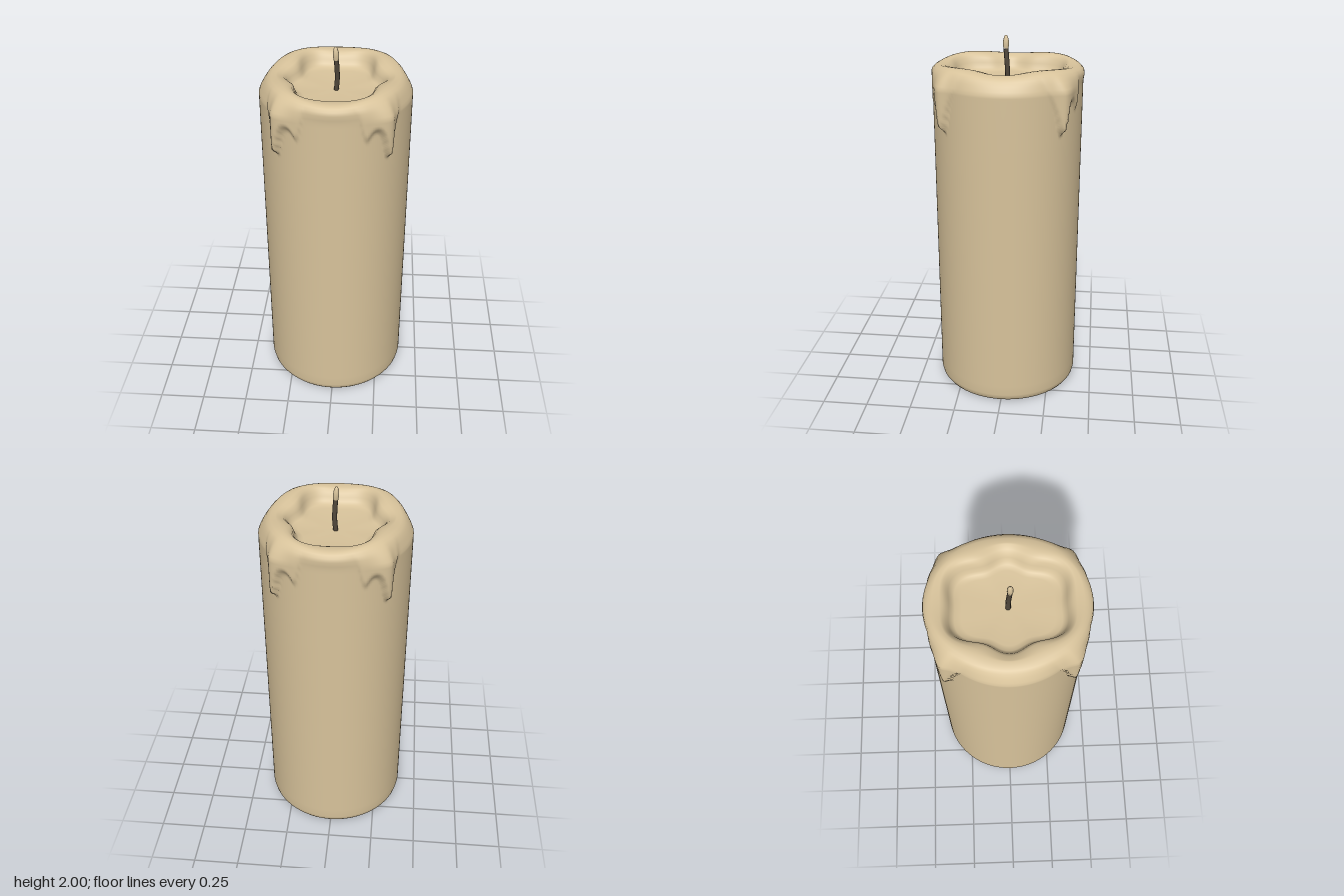
import * as THREE from 'three';
import { mergeVertices } from 'three/addons/utils/BufferGeometryUtils.js';

const wax = new THREE.MeshStandardMaterial({ name: 'wax', color: 0xd8c39b });
const charred = new THREE.MeshStandardMaterial({ name: 'charredWick', color: 0x4f463a });

const step = THREE.MathUtils.smoothstep;
const bell = (v, mid, width) => Math.exp(-(((v - mid) / width) ** 2));

// Thickness of the run of melted wax; a is the angle in degrees from the z axis, folded to 0-90
function dripThickness(a, y) {
  const spread = step(a, 14, 26) * (1 - step(a, 48, 63));
  const edge = 1.85 - 0.16 * spread - 0.16 * bell(a, 43, 4.5) - 0.05 * bell(a, 25, 4);
  const swell = 0.012 + 0.03 * bell(a, 42, a < 42 ? 10 : 5);
  return spread * swell * step(y, edge, edge + 0.05) * (1 - step(y, 1.77, 1.86));
}

// Wax pillar: a turned profile, then warped into a soft rim, a six-sided pool and four drips
function waxGeometry() {
  const profile = [[0, 0], [0.3, 0], [0.36, 0.002], [0.38, 0.008], [0.39, 0.022], [0.395, 0.045], [0.395, 0.1]];
  for (let y = 1.48; y < 1.77; y += 0.0125) profile.push([0.395, y]);
  profile.push(
    [0.392, 1.785], [0.387, 1.81], [0.378, 1.83], [0.365, 1.843], [0.35, 1.851], [0.33, 1.855],
    [0.31, 1.853], [0.29, 1.845], [0.275, 1.83], [0.265, 1.81], [0.255, 1.79], [0.24, 1.777],
    [0.21, 1.77], [0.1, 1.766], [0, 1.765]);
  let geo = new THREE.LatheGeometry(profile.map(([x, y]) => new THREE.Vector2(x, y)), 240);
  geo.deleteAttribute('uv');
  geo.deleteAttribute('normal');
  const pos = geo.attributes.position;
  for (let i = 0; i < pos.count; i++) {
    const x = pos.getX(i), z = pos.getZ(i);
    let y = pos.getY(i), r = Math.hypot(x, z);
    const az = Math.atan2(x, z);
    const folded = THREE.MathUtils.radToDeg(Math.atan2(Math.abs(x), Math.abs(z)));
    if (y > 1.4) {
      const poolRadius = 0.265 + 0.032 * Math.cos(2 * az) - 0.017 * Math.cos(6 * az);
      const drip = r > 0.32 ? dripThickness(folded, y) : 0;
      const slope = r > 0.325 ? 0.02 * Math.cos(2 * az) * step(y, 1.76, 1.84) : 0;
      if (y > 1.76) r *= THREE.MathUtils.lerp(poolRadius / 0.268, 1, step(r, 0.27, 0.36));
      r += drip + slope;
      y += (0.016 * Math.sin(2 * az) ** 2 - 0.003) * step(y, 1.78, 1.85);
    }
    pos.setXYZ(i, r * Math.sin(az), y, r * Math.cos(az) * 1.01);
  }
  geo = mergeVertices(geo, 1e-5);
  geo.computeVertexNormals();
  return geo;
}

export function createModel() {
  const model = new THREE.Group();
  model.name = 'candle';
  const add = (name, geometry, material) => {
    const mesh = new THREE.Mesh(geometry, material);
    mesh.name = name;
    model.add(mesh);
    return mesh;
  };

  add('waxPillar', waxGeometry(), wax);

  // Slightly bent wick: dark stem with a pale tip
  const stem = new THREE.CatmullRomCurve3([
    new THREE.Vector3(0, 1.75, 0), new THREE.Vector3(0.007, 1.83, 0.002), new THREE.Vector3(0.003, 1.93, 0.01)]);
  add('wickStem', new THREE.TubeGeometry(stem, 10, 0.013, 10), charred);

  const tipProfile = [[0.013, 0], [0.016, 0.02], [0.015, 0.04], [0.01, 0.06], [0.005, 0.068], [0, 0.07]];
  const tip = add('wickTip', new THREE.LatheGeometry(tipProfile.map(([x, y]) => new THREE.Vector2(x, y)), 10), wax);
  tip.position.set(0.002, 1.93, 0.01);
  tip.rotation.z = 0.06;

  return model;
}
